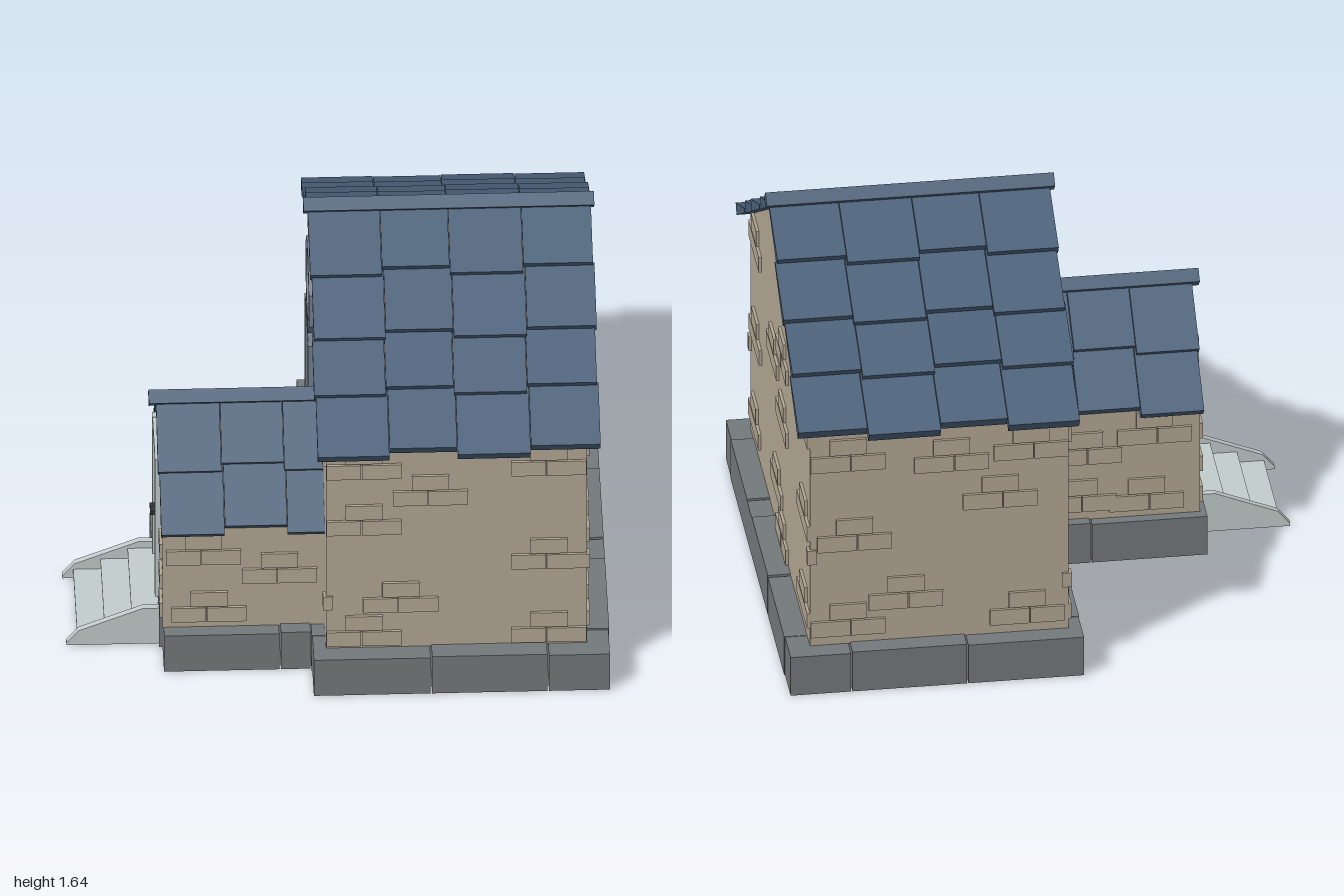
import * as THREE from 'three';

const mat = (name, color, side = THREE.FrontSide) => {
  const m = new THREE.MeshStandardMaterial({ color, side });
  m.name = name;
  return m;
};

export function createModel() {
  const root = new THREE.Group();
  root.name = 'cottage';
  const M = {
    wall: mat('beige wall', 0xb3a794, THREE.DoubleSide),
    roof: mat('blue slate', 0x4a6079),
    stone: mat('foundation grey', 0x74797b),
    step: mat('pale grey', 0xc2cccc),
    door: mat('door grey', 0x8b9698),
    glass: mat('amber glass', 0xd8902f),
    trim: mat('slate trim', 0x75828c),
    dark: mat('dark iron', 0x2e3234),
  };
  const group = (name, parent = root) => {
    const g = new THREE.Group();
    g.name = name;
    parent.add(g);
    return g;
  };
  const add = (parent, name, geo, m) => {
    const mesh = new THREE.Mesh(geo, m);
    mesh.name = name;
    parent.add(mesh);
    return mesh;
  };
  // box from min and max corners
  const box = (parent, name, m, x0, x1, y0, y1, z0, z1) => {
    const mesh = add(parent, name, new THREE.BoxGeometry(x1 - x0, y1 - y0, z1 - z0), m);
    mesh.position.set((x0 + x1) / 2, (y0 + y1) / 2, (z0 + z1) / 2);
    return mesh;
  };
  const shapeOf = (pts) => new THREE.Shape(pts.map(([a, b]) => new THREE.Vector2(a, b)));
  // extrude a [z, y] outline along x
  const extrudeX = (pts, x0, x1) =>
    new THREE.ExtrudeGeometry(shapeOf(pts.map(([z, y]) => [-z, y])), { depth: x1 - x0, bevelEnabled: false })
      .rotateY(Math.PI / 2).translate(x0, 0, 0);

  // Wall shells, open underneath
  const BASE = 0.16;
  function shell(name, x0, x1, zc, half, eave, apex, gables) {
    const g = group(name);
    for (const s of [-1, 1]) {
      const side = add(g, 'sideWall', new THREE.PlaneGeometry(x1 - x0, eave - BASE), M.wall);
      side.position.set((x0 + x1) / 2, (eave + BASE) / 2, zc + s * half);
      if (s < 0) side.rotation.y = Math.PI;
    }
    const outline = [[-half, BASE], [half, BASE], [half, eave], [0, apex], [-half, eave]];
    for (const [x, s] of gables) {
      const gable = add(g, 'gableWall', new THREE.ShapeGeometry(shapeOf(outline)), M.wall);
      gable.rotation.y = s * Math.PI / 2;
      gable.position.set(x, 0, zc);
    }
  }
  shell('mainWalls', -0.055, 0.905, 0, 0.795, 1.078, 1.575, [[-0.055, -1], [0.905, 1]]);
  shell('porchWalls', -0.65, -0.055, 0.31, 0.335, 0.62, 0.945, [[-0.65, -1]]);

  // Raised bricks: two below and one above in each cluster
  const bricks = group('raisedBricks');
  function cluster(axis, at, c, y) {
    const rows = [[-0.138, -0.012, 0, 0.064], [-0.008, 0.138, 0, 0.064], [-0.068, 0.068, 0.07, 0.134]];
    for (const [a, b, lo, hi] of rows) {
      if (axis === 'z') box(bricks, 'brick', M.wall, c + a, c + b, y + lo, y + hi, at - 0.011, at + 0.011);
      else box(bricks, 'brick', M.wall, at - 0.011, at + 0.011, y + lo, y + hi, c + a, c + b);
    }
  }
  const lay = (axis, at, list) => list.forEach(([c, y]) => cluster(axis, at, c, y));
  lay('z', 0.795, [[0.085, 0.935], [0.765, 0.935], [0.33, 0.81], [0.085, 0.68], [0.765, 0.51],
    [0.22, 0.325], [0.085, 0.175], [0.765, 0.175]]);
  lay('z', -0.795, [[0.085, 0.9], [0.765, 0.9], [0.38, 0.87], [0.2, 0.7], [0.74, 0.56],
    [0.55, 0.3], [0.1, 0.2], [0.765, 0.2]]);
  lay('x', 0.905, [[-0.05, 1.35], [0.64, 1.0], [-0.655, 1.0], [-0.08, 0.935], [0.17, 0.81], [-0.085, 0.67],
    [0.635, 0.605], [-0.655, 0.605], [0.06, 0.32], [0.65, 0.235], [-0.655, 0.235], [-0.08, 0.17]]);
  lay('x', -0.055, [[-0.65, 0.95], [-0.3, 1.02], [0.3, 1.18], [0.6, 0.95], [-0.655, 0.2], [-0.2, 0.9]]);
  lay('z', -0.025, [[-0.48, 0.47], [-0.22, 0.4], [-0.45, 0.19], [-0.2, 0.2]]);
  lay('z', 0.645, [[-0.5, 0.45], [-0.22, 0.36], [-0.48, 0.19]]);
  for (const z of [0.03, 0.585])
    for (const y of [0.2, 0.33, 0.47])
      box(bricks, 'porchCornerBrick', M.wall, -0.661, -0.639, y, y + 0.064, z - 0.05, z + 0.05);
  // corner bricks
  for (const z of [-0.785, 0.785]) {
    box(bricks, 'cornerBrick', M.wall, 0.88, 0.916, 0.51, 0.57, z - 0.018, z + 0.018);
    box(bricks, 'cornerBrick', M.wall, -0.066, -0.03, 0.34, 0.4, z - 0.018, z + 0.018);
  }

  // Foundation ring of separate stones
  const base = group('foundation');
  const T = 0.15, G = 0.003;
  function course(axis, cuts, lo, hi) {
    for (let i = 0; i < cuts.length - 1; i++) {
      const a = cuts[i] + G, b = cuts[i + 1] - G, h = 0.162 + (i % 2) * 0.005;
      if (axis === 'x') box(base, 'stone', M.stone, a, b, 0, h, lo, hi);
      else box(base, 'stone', M.stone, lo, hi, 0, h, a, b);
    }
  }
  course('x', [-0.105, 0.33, 0.76, 0.99], 0.87 - T, 0.87);
  course('x', [-0.105, 0.33, 0.76, 0.99], -0.87, -0.87 + T);
  course('z', [-0.72, -0.28, 0.155, 0.28, 0.72], 0.99 - T, 0.99);
  course('z', [-0.72, -0.28, 0.08], -0.105, -0.105 + T);
  course('z', [0.56, 0.72], -0.105, -0.105 + T);
  course('x', [-0.65, -0.22, -0.105], 0.7 - T, 0.7);
  course('x', [-0.675, -0.24, -0.105], -0.065, -0.065 + T);
  course('z', [0.085, 0.31, 0.55], -0.66, -0.66 + T);

  // Slate roofs: overlapping wedge tiles on both slopes
  function roof(name, zc, apex, angle, columns, rows) {
    const g = group(name), c = Math.cos(angle), n = Math.sin(angle);
    for (const side of [-1, 1])
      for (let r = 0; r < rows.length - 1; r++)
        for (let k = 0; k < columns.length - 1; k++) {
          const shift = k % 2 ? -0.024 : 0.005;
          const s0 = Math.max(0, rows[r] - 0.035), s1 = rows[r + 1] + shift;
          const wedge = [[s0, 0], [s1, 0], [s1, 0.045], [s0, 0.016]];
          const pts = wedge.map(([s, h]) => [zc + side * (s * c + h * n), apex - s * n + h * c]);
          const jut = r % 2 ? 0.006 : 0;
          add(g, 'roofTile', extrudeX(pts, columns[k] + jut + 0.002, columns[k + 1] + jut), M.roof);
        }
    return g;
  }
  const mainRoof = roof('mainRoof', 0, 1.575, 0.558, [-0.095, 0.17, 0.42, 0.69, 0.948], [0, 0.27, 0.52, 0.745, 0.99]);
  const porchRoof = roof('porchRoof', 0.31, 0.945, 0.77, [-0.665, -0.43, -0.2, 0.02], [0, 0.265, 0.5]);
  // ridge caps
  const ridge = (g, x0, x1, y, z) => {
    box(g, 'ridgeCap', M.roof, x0, x1, y - 0.026, y + 0.026, z - 0.026, z + 0.026).rotation.x = Math.PI / 4;
  };
  ridge(mainRoof, -0.11, 0.96, 1.6, 0);
  ridge(porchRoof, -0.69, 0.02, 0.965, 0.31);

  // Rectangular window on the left-hand gable wall
  const win = group('sideWindow');
  box(win, 'pane', M.glass, -0.064, -0.056, 0.36, 0.78, -0.52, -0.23);
  for (const z of [-0.525, -0.225]) box(win, 'frameSide', M.trim, -0.085, -0.05, 0.34, 0.8, z - 0.016, z + 0.016);
  for (const y of [0.355, 0.785]) box(win, 'frameRail', M.trim, -0.083, -0.05, y - 0.015, y + 0.015, -0.54, -0.21);

  // Octagonal window high in the gable
  const oct = group('octagonWindow');
  const octagon = (r) => Array.from({ length: 8 }, (_, i) => {
    const a = (i + 0.5) * Math.PI / 4;
    return [r * Math.cos(a), r * Math.sin(a)];
  });
  const ring = shapeOf(octagon(0.185));
  ring.holes.push(new THREE.Path(octagon(0.14).map(([a, b]) => new THREE.Vector2(a, b))));
  const frame = new THREE.ExtrudeGeometry(ring, { depth: 0.045, bevelEnabled: false });
  add(oct, 'octagonFrame', frame.rotateY(-Math.PI / 2), M.trim).position.set(-0.05, 1.24, 0);
  const pane = new THREE.ShapeGeometry(shapeOf(octagon(0.145)));
  add(oct, 'octagonPane', pane.rotateY(-Math.PI / 2), M.glass).position.set(-0.064, 1.24, 0);

  // Porch door with frame, panels and handle
  const door = group('door');
  box(door, 'doorLeaf', M.door, -0.659, -0.645, 0.165, 0.76, 0.19, 0.43);
  for (const z of [0.178, 0.442]) box(door, 'jamb', M.step, -0.672, -0.64, 0.165, 0.79, z - 0.016, z + 0.016);
  box(door, 'lintel', M.step, -0.671, -0.64, 0.755, 0.788, 0.165, 0.455);
  for (const [y0, y1] of [[0.22, 0.43], [0.49, 0.71]])
    box(door, 'doorPanel', M.trim, -0.664, -0.655, y0, y1, 0.245, 0.375);
  box(door, 'handle', M.dark, -0.682, -0.655, 0.392, 0.408, 0.205, 0.26);

  // Steps with two side boards
  const steps = group('steps');
  const board = [[-1, 0.005], [-0.655, 0.005], [-0.655, 0.165], [-0.72, 0.165], [-0.955, 0.07], [-1, 0.015]];
  for (const z of [0.09, 0.505])
    add(steps, 'sideBoard', new THREE.ExtrudeGeometry(shapeOf(board), { depth: 0.025, bevelEnabled: false }), M.step)
      .position.z = z;
  for (let i = 0; i < 3; i++) {
    const x = -0.96 + i * 0.1, y = 0.045 + i * 0.045;
    box(steps, 'tread', M.step, x, x + 0.105, y - 0.015, y, 0.115, 0.505);
    box(steps, 'riser', M.step, x + 0.004, x + 0.014, y - 0.045, y - 0.015, 0.115, 0.505);
  }
  return root;
}
